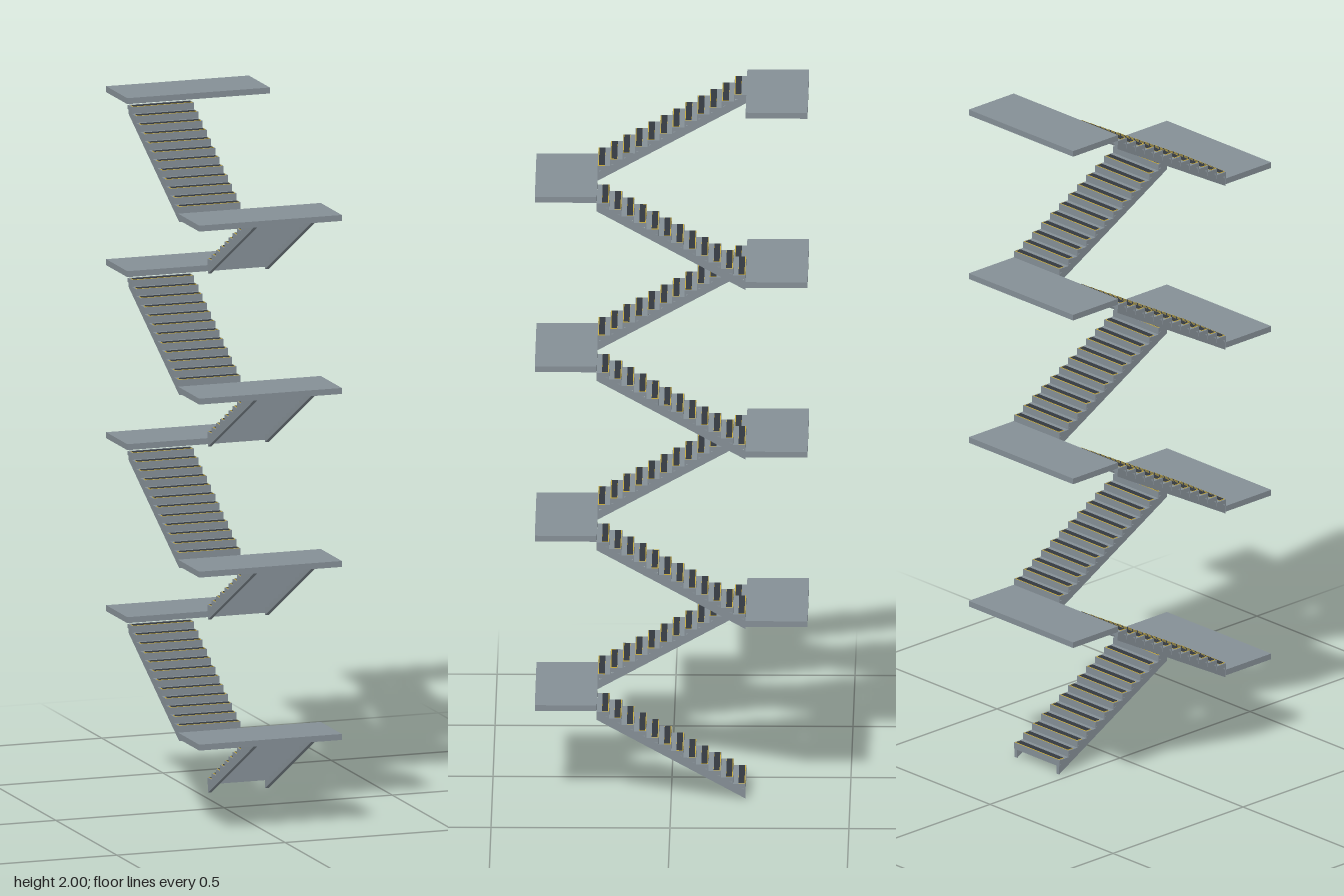
import * as THREE from 'three';

const FLIGHTS = 8, STEPS = 12;
const STOREY = 0.247;                 // rise of one flight
const RISE = STOREY / (STEPS + 1);
const RUN_HALF = 0.208, DEPTH = 2 * RUN_HALF / STEPS;
const WIDTH = 0.185, FLIGHT_X = 0.1185;

const mat = (name, color) => {
  const m = new THREE.MeshStandardMaterial({ color });
  m.name = name;
  return m;
};

export function createModel() {
  const steel = mat('grey steel', 0x858f96);
  const rubber = mat('dark grip', 0x33383f);
  const yellow = mat('yellow edging', 0xc8ab3c);
  const model = new THREE.Group();
  model.name = 'switchbackStaircase';

  const box = (parent, name, material, size, pos) => {
    const mesh = new THREE.Mesh(new THREE.BoxGeometry(...size), material);
    mesh.position.set(...pos);
    mesh.name = name;
    parent.add(mesh);
  };

  // sloping side beam, drawn in (run, height) and extruded across its thickness
  const beamDepth = 0.024, beamWidth = 0.011;
  const climb = RISE * STEPS;
  const profile = new THREE.Shape([
    [-RUN_HALF, -beamDepth], [RUN_HALF, climb - beamDepth],
    [RUN_HALF, climb], [-RUN_HALF, 0],
  ].map(([a, b]) => new THREE.Vector2(a, b)));
  const beamGeo = new THREE.ExtrudeGeometry(profile, { depth: beamWidth, bevelEnabled: false });
  beamGeo.translate(0, 0, -beamWidth / 2);
  beamGeo.rotateY(-Math.PI / 2);      // run now goes along +z

  // one flight, climbing towards +z
  const makeFlight = () => {
    const flight = new THREE.Group();
    for (const side of [-1, 1]) {
      const beam = new THREE.Mesh(beamGeo, steel);
      beam.name = 'stringer';
      beam.position.x = side * (WIDTH / 2 - beamWidth / 2 - 0.002);
      flight.add(beam);
    }
    for (let i = 0; i < STEPS; i++) {
      const nose = -RUN_HALF + i * DEPTH, top = (i + 1) * RISE;
      box(flight, 'tread', steel, [WIDTH, 0.012, DEPTH], [0, top - 0.006, nose + DEPTH / 2]);
      box(flight, 'riser', steel, [WIDTH, RISE - 0.012, 0.004], [0, top - 0.012 - (RISE - 0.012) / 2, nose + 0.002]);
      // yellow edging plate with the dark grip on top
      box(flight, 'nosingEdge', yellow, [0.178, 0.001, 0.019], [0, top + 0.0005, nose + 0.0105]);
      box(flight, 'gripStrip', rubber, [0.173, 0.001, 0.0165], [0, top + 0.0012, nose + 0.0115]);
    }
    return flight;
  };

  for (let n = 0; n < FLIGHTS; n++) {
    const up = n % 2 === 0;           // even flights climb to the front
    const level = 2 - (FLIGHTS - n) * STOREY;
    const flight = makeFlight();
    flight.name = up ? 'leftFlight' : 'rightFlight';
    flight.position.set(up ? FLIGHT_X : -FLIGHT_X, level, 0);
    if (!up) flight.rotation.y = Math.PI;
    model.add(flight);
    // landing at the head of the flight
    box(model, up ? 'frontLanding' : 'backLanding', steel, [0.424, 0.017, 0.173],
      [0, level + STOREY - 0.0085, (up ? 1 : -1) * (RUN_HALF + 0.0865)]);
  }
  return model;
}
